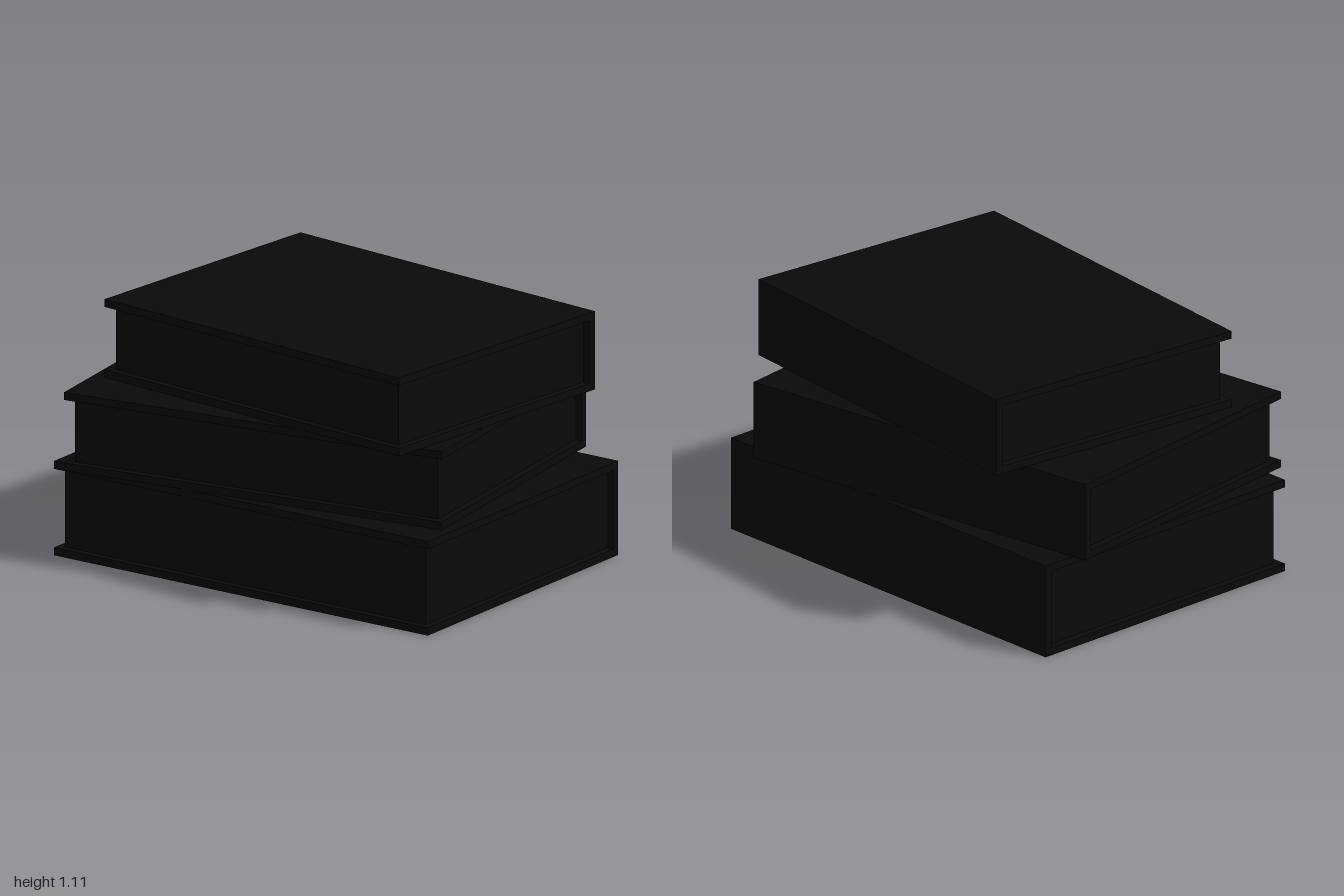
import * as THREE from 'three';

const BOARD = 0.034; // cover thickness, also the overhang past the pages

export function createModel() {
  const model = new THREE.Group();
  model.name = 'bookStack';

  const black = new THREE.MeshStandardMaterial({ color: 0x090909 });
  black.name = 'black';

  function addBox(parent, name, size, position) {
    const mesh = new THREE.Mesh(new THREE.BoxGeometry(...size), black);
    mesh.name = name;
    mesh.position.set(...position);
    parent.add(mesh);
  }

  // One hardback: two boards, a spine along the back edge and a recessed page block
  function makeBook(name, length, depth, height) {
    const book = new THREE.Group();
    book.name = name;
    const inner = height - 2 * BOARD;
    addBox(book, 'backCover', [length, BOARD, depth], [0, BOARD / 2, 0]);
    addBox(book, 'frontCover', [length, BOARD, depth], [0, height - BOARD / 2, 0]);
    addBox(book, 'spine', [length, inner, BOARD], [0, height / 2, -depth / 2 + BOARD / 2]);
    addBox(book, 'pages', [length - 2 * BOARD, inner, depth - 2 * BOARD], [0, height / 2, 0]);
    return book;
  }

  // Name, length, depth, height, x, z and turn in degrees, from the bottom up
  const stack = [
    ['bottomBook', 1.93, 1.38, 0.415, 0.035, 0, 0],
    ['middleBook', 1.79, 1.31, 0.345, -0.022, 0, 7.9],
    ['topBook', 1.654, 1.242, 0.345, 0.088, -0.025, -6.1],
  ];
  let y = 0;
  for (const [name, length, depth, height, x, z, turn] of stack) {
    const book = makeBook(name, length, depth, height);
    book.position.set(x, y, z);
    book.rotation.y = THREE.MathUtils.degToRad(turn);
    model.add(book);
    y += height;
  }
  return model;
}
